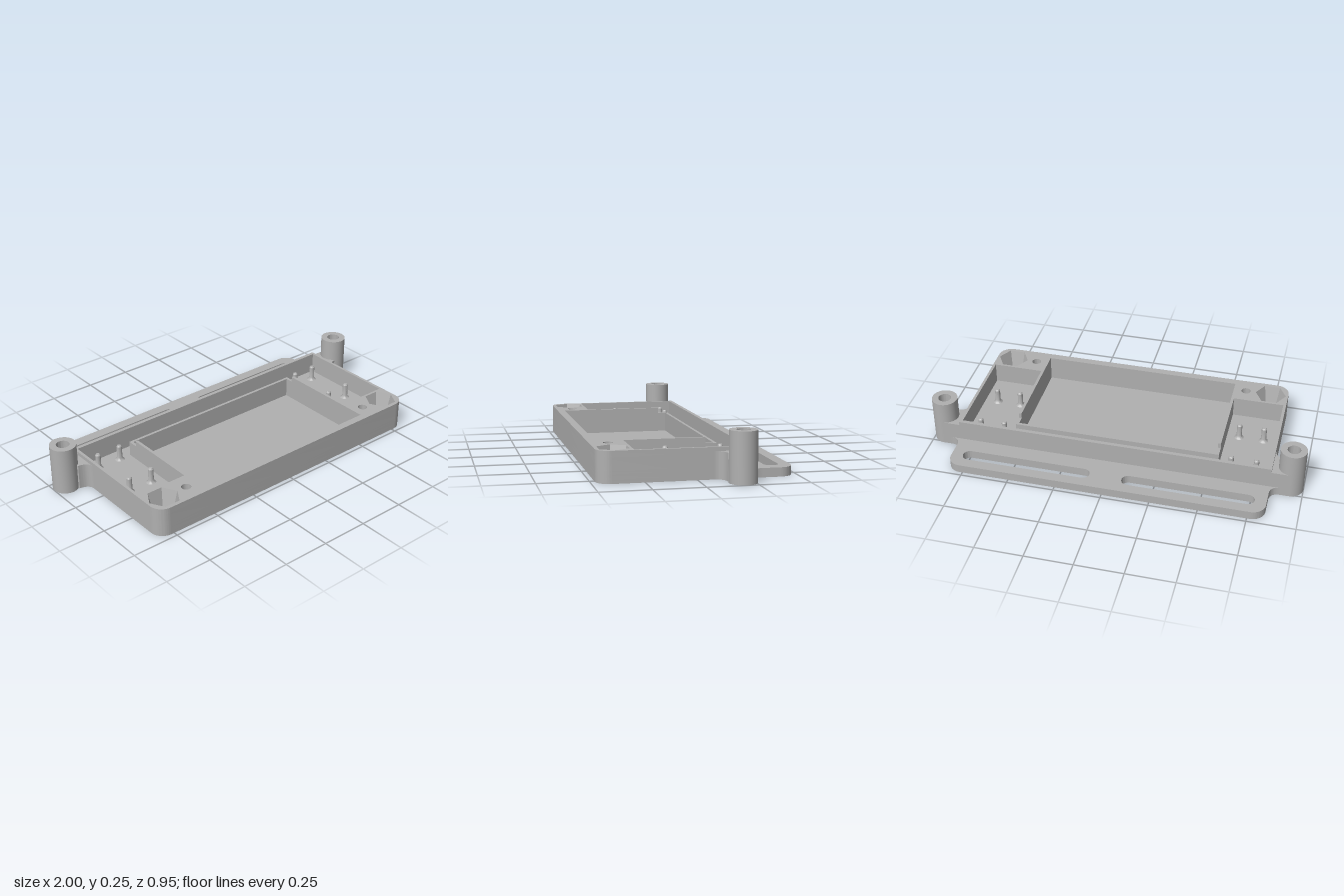
import * as THREE from 'three';
import { toCreasedNormals } from 'three/addons/utils/BufferGeometryUtils.js';

const grey = new THREE.MeshStandardMaterial({ color: 0xb0b0b0, side: THREE.DoubleSide });
grey.name = 'grey plastic';

// Plan outlines are given as (x, z); the shape's own y is -z.
const poly = (pts) => new THREE.Path(pts.map(([x, z]) => new THREE.Vector2(x, -z)));
const rect = (x0, z0, x1, z1) => poly([[x0, z0], [x1, z0], [x1, z1], [x0, z1]]);
const circle = (x, z, r) => new THREE.Path().absarc(x, -z, r, 0, Math.PI * 2);
const hexagon = (x, z, r) => poly([0, 1, 2, 3, 4, 5].map((i) =>
  [x + r * Math.cos(i * Math.PI / 3), z + r * Math.sin(i * Math.PI / 3)]));

function slot(x0, x1, z, r) {
  const p = new THREE.Path();
  p.absarc(x1 - r, -z, r, -Math.PI / 2, Math.PI / 2);
  p.absarc(x0 + r, -z, r, Math.PI / 2, Math.PI * 1.5);
  p.closePath();
  return p;
}

export function createModel() {
  const group = new THREE.Group();

  const add = (name, geometry, x = 0, y = 0, z = 0) => {
    const mesh = new THREE.Mesh(geometry, grey);
    mesh.name = name;
    mesh.position.set(x, y, z);
    group.add(mesh);
    return mesh;
  };
  const slab = (name, shape, holes, y0, y1) => {
    shape.holes = holes;
    const g = new THREE.ExtrudeGeometry(shape, { depth: y1 - y0, bevelEnabled: false, curveSegments: 16 });
    g.rotateX(-Math.PI / 2);
    return add(name, toCreasedNormals(g, 0.6), 0, y0, 0);
  };

  // Tray outline: square at the back, rounded at the front
  const W = 0.835, F = 0.477, B = -0.26, R = 0.07;
  const trayOutline = () => {
    const s = new THREE.Shape();
    s.moveTo(-W, -B);
    s.lineTo(-W, -F + R);
    s.absarc(-W + R, -F + R, R, Math.PI, Math.PI * 1.5);
    s.absarc(W - R, -F + R, R, Math.PI * 1.5, Math.PI * 2);
    s.lineTo(W, -B);
    s.closePath();
    return s;
  };

  const hx = 0.74, hz = 0.385;
  const pair = (f) => [f(-1), f(1)];
  const smallHoles = () => pair((s) => circle(s * 0.603, hz, 0.025));
  const boltHoles = () => pair((s) => circle(s * hx, hz, 0.034));
  const hexHoles = () => pair((s) => hexagon(s * hx, hz, 0.083));
  const centre = () => rect(-0.535, -0.153, 0.535, 0.437);
  // Side pockets joined by the rear channel
  const channel = () => poly([[-0.82, -0.24], [0.82, -0.24], [0.82, 0.3], [0.55, 0.3],
    [0.55, -0.168], [-0.55, -0.168], [-0.55, 0.3], [-0.82, 0.3]]);
  // Near the rim the low rear divider is gone, so all pockets join
  const rimOpening = () => poly([[-0.82, -0.24], [0.82, -0.24], [0.82, 0.3], [0.55, 0.3],
    [0.55, -0.11], [0.535, -0.11], [0.535, 0.437], [-0.535, 0.437],
    [-0.535, -0.11], [-0.55, -0.11], [-0.55, 0.3], [-0.82, 0.3]]);

  // Tray, stacked from the floor to the rim
  const floorY = 0.045, hexY = 0.06, dividerY = 0.125, top = 0.155;
  slab('trayFloor', trayOutline(), [...boltHoles(), ...smallHoles()], 0, 0.02);
  slab('pocketFloor', trayOutline(), [centre(), ...boltHoles(), ...smallHoles()], 0.02, floorY);
  slab('trayLowerWalls', trayOutline(), [centre(), channel(), ...boltHoles(), ...smallHoles()], floorY, hexY);
  slab('trayWalls', trayOutline(), [centre(), channel(), ...hexHoles(), ...smallHoles()], hexY, dividerY);
  slab('trayRim', trayOutline(), [rimOpening(), ...hexHoles(), ...smallHoles()], dividerY, top);

  // Rear mounting flange with two slots and flared corners
  const flange = new THREE.Shape();
  const K = -0.478;
  flange.moveTo(0.89, -B);
  flange.quadraticCurveTo(W, -B, W, 0.315);
  flange.lineTo(W, -K - R);
  flange.absarc(W - R, -K - R, R, 0, Math.PI / 2);
  flange.absarc(-W + R, -K - R, R, Math.PI / 2, Math.PI);
  flange.lineTo(-W, 0.315);
  flange.quadraticCurveTo(-W, -B, -0.89, -B);
  flange.closePath();
  slab('rearFlange', flange, [slot(0.085, 0.775, -0.386, 0.036), slot(-0.775, -0.085, -0.386, 0.036)], 0, floorY);

  // Bored post profile: narrow bore above, wide counterbore below
  const postProfile = [[0.034, 0.25], [0.034, 0.1], [0.051, 0.1], [0.051, 0], [0.068, 0], [0.068, 0.25], [0.034, 0.25]]
    .map(([r, y]) => new THREE.Vector2(r, y));
  // Stud profile with a flared foot
  const studProfile = [[0.026, 0], [0.018, 0.006], [0.014, 0.016], [0.014, 0.078], [0.009, 0.085], [0, 0.085]]
    .map(([r, y]) => new THREE.Vector2(r, y));

  for (const s of [-1, 1]) {
    const side = s > 0 ? 'left' : 'right';
    const px = 0.932, pz = -0.192;
    add(side + 'Post', toCreasedNormals(new THREE.LatheGeometry(postProfile, 40), 0.6), s * px, 0, pz);

    // Web joining the post to the tray, hollowed around the bore
    const web = new THREE.Shape();
    web.moveTo(s * 0.825, 0.08);
    web.lineTo(s * W, 0.08);
    web.quadraticCurveTo(s * W, 0.125, s * 0.89, 0.13);
    for (let i = 0; i <= 10; i++) {
      const a = Math.PI * (1.3 - i * 0.08);
      web.lineTo(s * (px + 0.06 * Math.cos(a)), -pz + 0.06 * Math.sin(a));
    }
    web.lineTo(s * px, -B);
    web.lineTo(s * 0.825, -B);
    web.closePath();
    slab(side + 'PostWeb', web, [], 0, 0.135);

    // Tapered hexagonal nut seat
    const seat = new THREE.CylinderGeometry(0.083, 0.058, top - hexY, 6, 1, true);
    seat.rotateY(Math.PI / 2);
    add(side + 'NutSeat', toCreasedNormals(seat, 0.4), s * hx, (top + hexY) / 2, hz);

    // Four board studs in each side pocket
    for (const x of [0.615, 0.747]) {
      for (const z of [-0.168, 0.108]) {
        add(side + 'Stud', toCreasedNormals(new THREE.LatheGeometry(studProfile, 20), 0.6), s * x, floorY, z);
      }
    }
  }
  return group;
}
